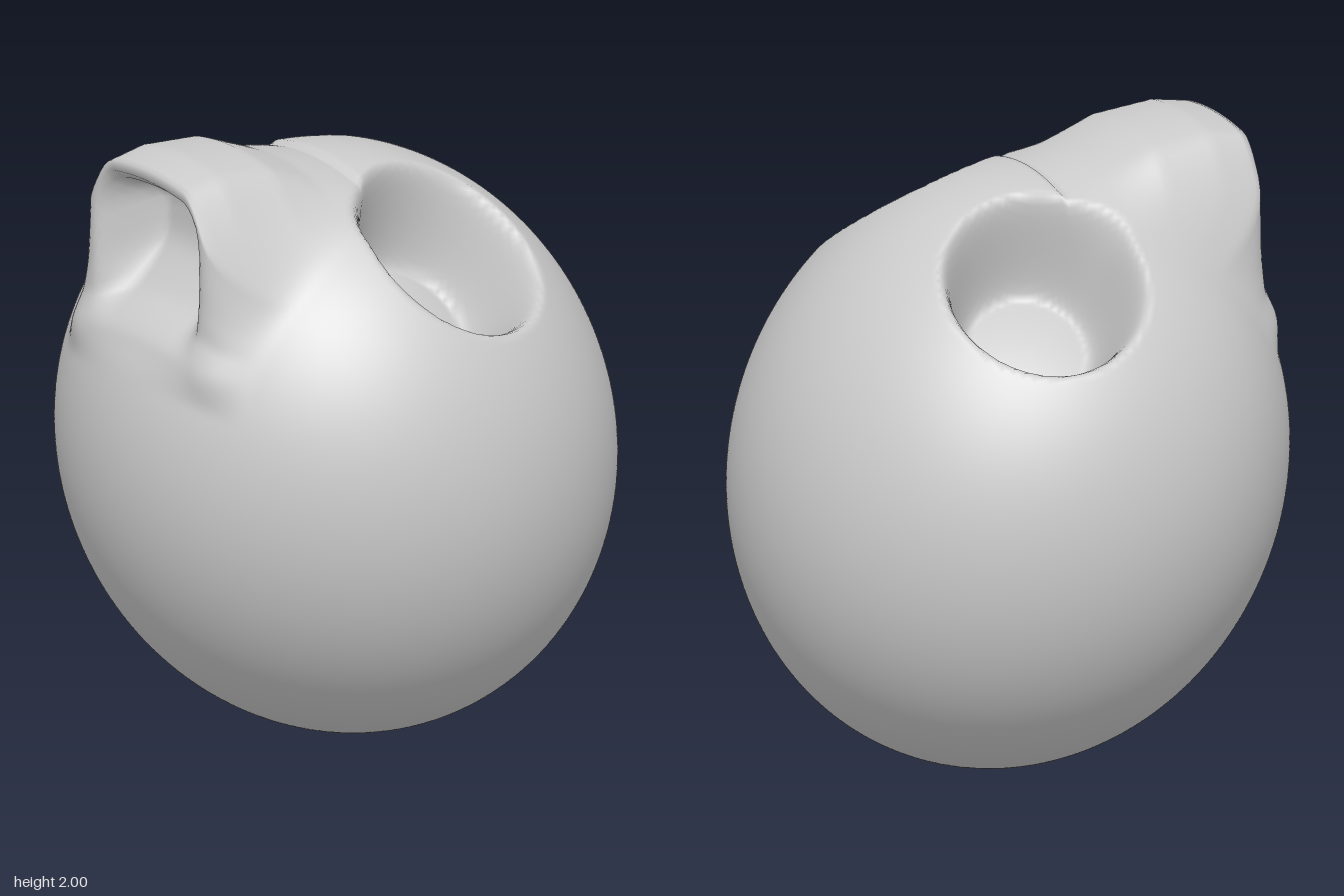
import * as THREE from 'three';
import { mergeVertices } from 'three/addons/utils/BufferGeometryUtils.js';

const { smoothstep, lerp } = THREE.MathUtils;

// Snout centre line: [degrees from up towards the front, z, y]
const SNOUT = [
  [0, 0.07, 1.88], [10, 0.24, 1.92], [20, 0.4, 1.985], [30, 0.6, 2.0],
  [37, 0.73, 1.975], [42, 0.73, 1.83], [47, 0.73, 1.68], [53, 0.735, 1.54],
  [60, 0.78, 1.43], [68, 0.833, 1.306],
];

function snoutAt(angle) {
  for (let i = 1; i < SNOUT.length; i++) {
    const [a0, z0, y0] = SNOUT[i - 1];
    const [a1, z1, y1] = SNOUT[i];
    if (angle <= a1) {
      const t = (angle - a0) / (a1 - a0);
      return [lerp(z0, z1, t), lerp(y0, y1, t)];
    }
  }
}

// Slightly tilted egg
function egg(n) {
  return new THREE.Vector3(0.87 * n.x, 0.95 + 0.95 * n.y, 0.87 * n.z + 0.07 * n.y);
}

// Raise the snout and hollow its front under the lip
function shapeSnout(p, n) {
  const angle = THREE.MathUtils.radToDeg(Math.atan2(n.z, n.y));
  if (angle <= 0 || angle >= 68) return;
  const rad = THREE.MathUtils.degToRad(angle);
  const [z, y] = snoutAt(angle);
  const ax = Math.abs(p.x);
  const ends = smoothstep(angle, 0, 10) * (1 - smoothstep(angle, 58, 68));
  p.z = lerp(p.z, z, (1 - smoothstep(ax, 0.28, 0.46)) * ends);
  p.y += (y - 0.95 - 0.95 * Math.cos(rad)) * (1 - smoothstep(ax, 0.18, 0.43));
  const hollow = smoothstep(angle, 38, 42) * (1 - smoothstep(angle, 45, 60));
  p.z -= 0.2 * hollow * (1 - smoothstep(ax, 0.15, 0.27));
}

// Press an oval socket into each side of the top
const socketAxis = new THREE.Vector3(0.5, 0.85, -0.08).normalize();
const socketCentre = new THREE.Vector3(0.47, 1.72, -0.11);
const across = new THREE.Vector3(0.85, -0.5, 0).normalize();
const along = new THREE.Vector3().crossVectors(socketAxis, across);

function pressSocket(p, base) {
  const side = base.x < 0 ? -1 : 1;
  const d = base.clone();
  d.x *= side;
  d.sub(socketCentre);
  if (d.dot(socketAxis) < -0.6) return;
  const r = Math.hypot(d.dot(across) / 0.355, d.dot(along) / 0.325);
  const depth = 0.37 * (1 - smoothstep(r, 0.55, 1));
  p.x -= side * socketAxis.x * depth;
  p.y -= socketAxis.y * depth;
  p.z -= socketAxis.z * depth;
}

export function createModel() {
  let geometry = new THREE.IcosahedronGeometry(1, 52);
  geometry.deleteAttribute('uv');
  geometry.deleteAttribute('normal');
  geometry = mergeVertices(geometry, 1e-4);

  const pos = geometry.attributes.position;
  const n = new THREE.Vector3();
  for (let i = 0; i < pos.count; i++) {
    n.fromBufferAttribute(pos, i).normalize();
    const base = egg(n);
    const p = base.clone();
    shapeSnout(p, n);
    pressSocket(p, base);
    pos.setXYZ(i, p.x, p.y, p.z);
  }
  geometry.computeVertexNormals();

  const head = new THREE.Mesh(geometry, new THREE.MeshStandardMaterial({ color: 0xcccccc }));
  head.name = 'headWithSocketsAndSnout';
  const group = new THREE.Group();
  group.name = 'roundHead';
  group.add(head);
  return group;
}
